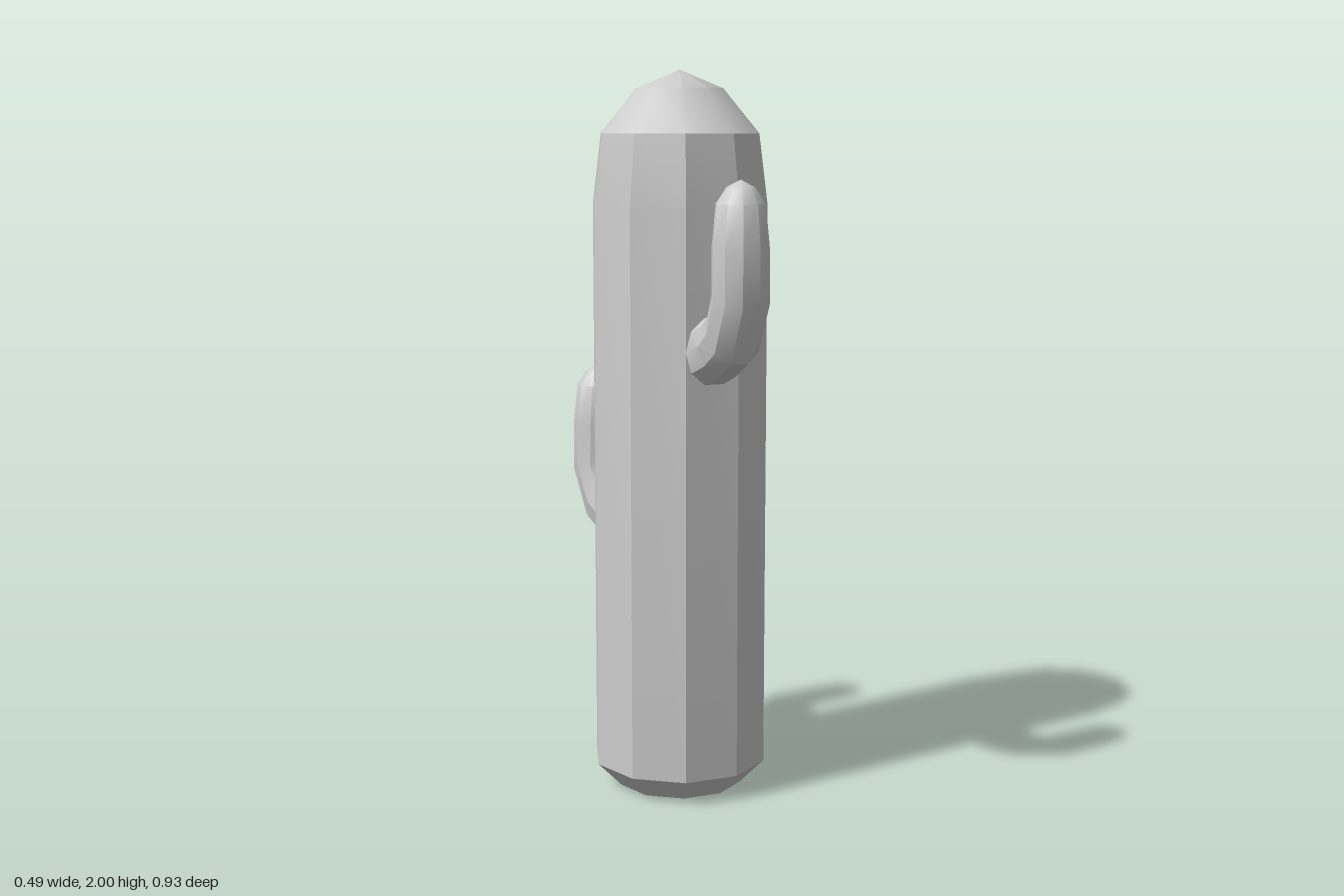
import * as THREE from 'three';
import { toCreasedNormals } from 'three/addons/utils/BufferGeometryUtils.js';

const SIDES = 10;
const CREASE = 0.55; // keeps the ribs sharp and the domes smooth
const material = new THREE.MeshStandardMaterial({ color: 0xcccccc });

// Arm rings along the bend: [distance from trunk axis, height, tilt in degrees, half width, half height]
const ARM_RINGS = [
  [0.12, 0.075, 6, 0.077, 0.092],
  [0.24, 0.09, 8, 0.077, 0.092],
  [0.312, 0.113, 11, 0.077, 0.088],
  [0.367, 0.148, 29, 0.077, 0.087],
  [0.414, 0.243, 76, 0.077, 0.074],
  [0.412, 0.37, 90, 0.077, 0.073],
  [0.411, 0.485, 90, 0.065, 0.065],
  [0.411, 0.527, 90, 0.037, 0.037],
  [0.411, 0.546, 90, 0, 0],
];

// Ten-sided tube lofted through the rings, reaching out along +z and bending up
function armGeometry() {
  const positions = [], index = [];
  for (const [z, y, tilt, w, h] of ARM_RINGS) {
    const t = THREE.MathUtils.degToRad(tilt);
    for (let k = 0; k < SIDES; k++) {
      const a = (k / SIDES) * Math.PI * 2;
      const n = Math.sin(a) * h;
      positions.push(Math.cos(a) * w, y + n * Math.cos(t), z - n * Math.sin(t));
    }
  }
  for (let r = 0; r < ARM_RINGS.length - 1; r++) {
    for (let k = 0; k < SIDES; k++) {
      const a = r * SIDES + k, b = r * SIDES + ((k + 1) % SIDES);
      index.push(a, b, b + SIDES);
      if (r < ARM_RINGS.length - 2) index.push(a, b + SIDES, a + SIDES);
      else index.splice(-1, 1, a + SIDES); // last ring meets at the tip
    }
  }
  const g = new THREE.BufferGeometry();
  g.setAttribute('position', new THREE.Float32BufferAttribute(positions, 3));
  g.setIndex(index);
  return toCreasedNormals(g, CREASE);
}

export function createModel() {
  const cactus = new THREE.Group();
  cactus.name = 'cactus';

  // Trunk with bevelled foot, tapered shoulder and domed top
  const profile = [
    [0, 0], [0.177, 0], [0.246, 0.07], [0.246, 1.64],
    [0.222, 1.83], [0.122, 1.95], [0, 2],
  ].map(([r, y]) => new THREE.Vector2(r, y));
  const trunk = new THREE.Mesh(
    toCreasedNormals(new THREE.LatheGeometry(profile, SIDES, Math.PI / 2), CREASE), material);
  trunk.name = 'trunk';
  cactus.add(trunk);

  // Two arms, turned about the trunk axis
  const geometry = armGeometry();
  const addArm = (name, height, turn, inset) => {
    const pivot = new THREE.Group();
    pivot.name = name;
    pivot.rotation.y = turn;
    const arm = new THREE.Mesh(geometry, material);
    arm.name = name + 'Branch';
    arm.position.set(0, height, -inset);
    pivot.add(arm);
    cactus.add(pivot);
  };
  addArm('frontArm', 1.17, 0, 0);
  addArm('backArm', 0.615, Math.PI + 0.262, 0.022);

  // The trunk sits slightly behind the middle
  cactus.position.z = -0.017;
  const model = new THREE.Group();
  model.name = 'model';
  model.add(cactus);
  return model;
}
